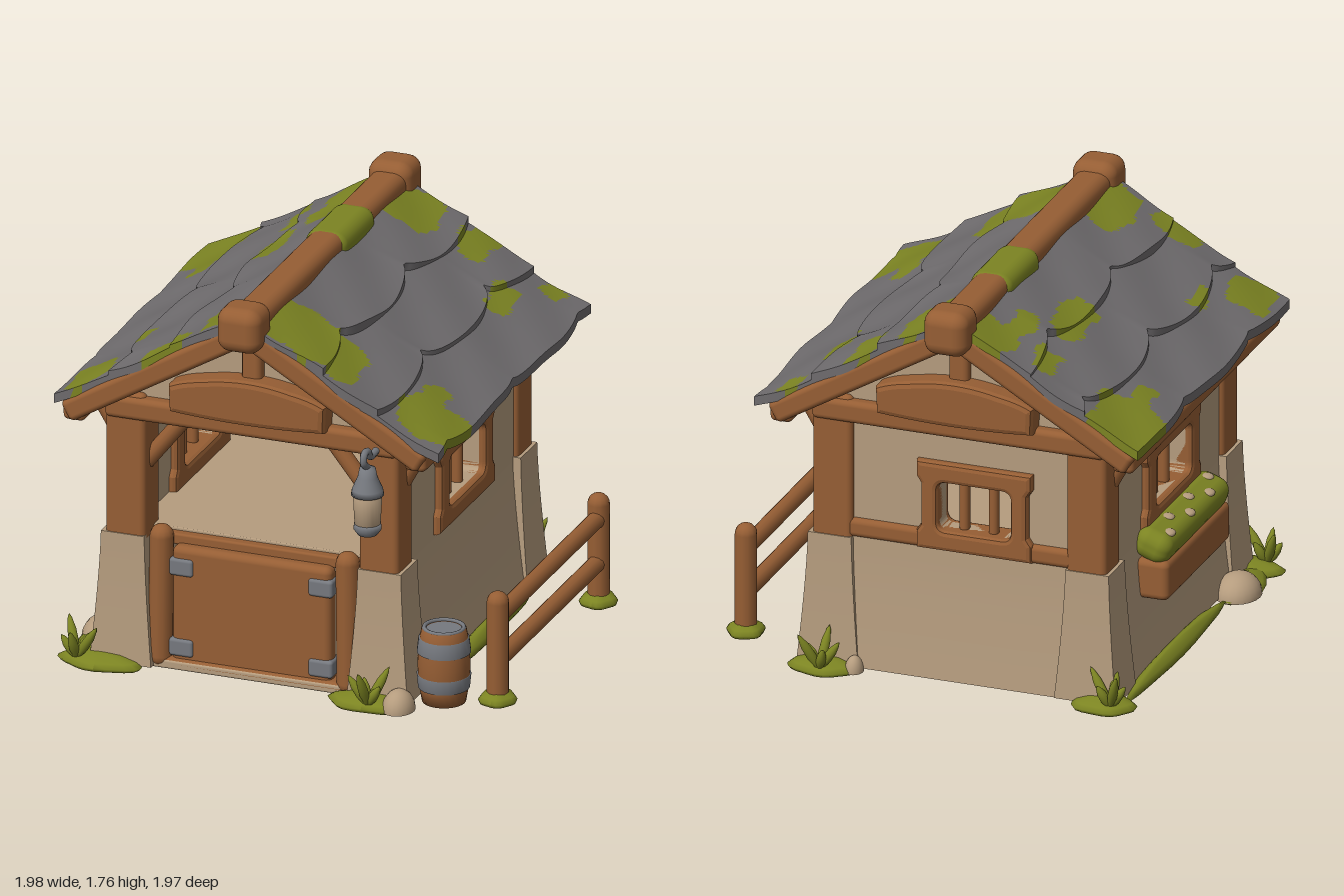
import * as THREE from 'three';
import { toCreasedNormals } from 'three/addons/utils/BufferGeometryUtils.js';
import { RoundedBoxGeometry } from 'three/addons/geometries/RoundedBoxGeometry.js';

const material = (name, color) => {
  const m = new THREE.MeshStandardMaterial({ color });
  m.name = name;
  return m;
};
const V = (x, y, z) => new THREE.Vector3(x, y, z);

export function createModel() {
  const wood = material('wood', 0x965e34);
  const plaster = material('plaster', 0xb59c7e);
  const slate = material('slate', 0x6e6b6d);
  const moss = material('moss', 0x7c8422);
  const iron = material('iron', 0x76797f);

  const root = new THREE.Group();
  root.name = 'cottage';
  const C = -0.135; // centre line of the house
  const house = new THREE.Group();
  house.name = 'house';
  house.position.x = C;
  root.add(house);

  const add = (parent, name, geo, mat, x = 0, y = 0, z = 0) => {
    const m = new THREE.Mesh(geo, mat);
    m.name = name;
    m.position.set(x, y, z);
    parent.add(m);
    return m;
  };
  const block = (parent, name, mat, w, h, d, x, y, z, r = 0.025) =>
    add(parent, name, new RoundedBoxGeometry(w, h, d, 3, Math.min(r, w / 2.1, h / 2.1, d / 2.1)), mat, x, y, z);
  const rod = (parent, name, mat, a, b, r) => {
    const dir = b.clone().sub(a);
    const m = add(parent, name, new THREE.CapsuleGeometry(r, dir.length(), 5, 12), mat);
    m.position.copy(a).add(b).multiplyScalar(0.5);
    m.quaternion.setFromUnitVectors(V(0, 1, 0), dir.normalize());
    return m;
  };
  // Box that widens towards its foot
  const flared = (w, h, d, kx, kz) => {
    const g = new THREE.BoxGeometry(w, h, d, 4, 8, 4);
    const p = g.attributes.position;
    for (let i = 0; i < p.count; i++) {
      const t = (0.5 - p.getY(i) / h) ** 1.4;
      p.setX(i, p.getX(i) * (1 + kx * t));
      p.setZ(i, p.getZ(i) * (1 + kz * t));
    }
    return toCreasedNormals(g, 0.6);
  };
  const polygon = (pts) => new THREE.Shape(pts.map(([x, y]) => new THREE.Vector2(x, y)));
  // Rounded window opening of width w centred on c
  const opening = (w, c = 0) => {
    const p = new THREE.Path(), l = c - w / 2, a = c + w / 2, b = 0.69, t = 0.91, r = 0.04;
    p.moveTo(l + r, b).lineTo(a - r, b).quadraticCurveTo(a, b, a, b + r).lineTo(a, t - r).quadraticCurveTo(a, t, a - r, t);
    p.lineTo(l + r, t).quadraticCurveTo(l, t, l, t - r).lineTo(l, b + r).quadraticCurveTo(l, b, l + r, b);
    return p;
  };
  const slab = (shape, depth, bevel = 0) => {
    const g = new THREE.ExtrudeGeometry(shape, {
      depth, bevelEnabled: bevel > 0, bevelSize: bevel, bevelThickness: bevel, bevelOffset: -bevel, bevelSegments: 2, curveSegments: 10,
    });
    return g.translate(0, 0, -depth / 2);
  };
  const windowSet = (parent, w, hole, x = 0) => {
    const a = w / 2, n = a - 0.02;
    const s = polygon([[-a, 0.6], [a, 0.6], [a, 0.68], [n, 0.71], [n, 0.9], [a, 0.93], [a, 1], [-a, 1], [-a, 0.93], [-n, 0.9], [-n, 0.71], [-a, 0.68]]);
    s.holes.push(opening(hole));
    add(parent, 'windowFrame', slab(s, 0.12, 0.02), wood, x);
    for (const k of [-1, 1]) block(parent, 'windowBar', wood, 0.042, 0.25, 0.05, x + k * 0.066, 0.8, 0);
  };

  // Underside, footing and raised inner floor
  block(house, 'floorBase', wood, 1.02, 0.05, 1.4, 0, 0.025, 0.03, 0.005);
  block(house, 'footing', plaster, 1.36, 0.04, 1.56, 0, 0.032, 0, 0.01);
  block(house, 'innerFloor', plaster, 1.12, 0.05, 1.36, 0, 0.59, -0.01, 0.005);
  block(house, 'floorEdge', wood, 0.98, 0.05, 0.05, 0, 0.578, 0.685, 0.01);

  // Side walls with windows, skirts, eave beams and brackets
  for (const s of [-1, 1]) {
    const side = new THREE.Group();
    side.name = s > 0 ? 'leftSide' : 'rightSide';
    side.position.x = s * 0.597;
    side.rotation.y = Math.PI / 2;
    house.add(side);
    const wall = polygon([[-0.69, 0.02], [0.69, 0.02], [0.69, 1.25], [-0.69, 1.25]]);
    wall.holes.push(opening(0.41));
    add(side, 'sideWall', slab(wall, 0.09), plaster);
    windowSet(side, 0.64, 0.41);
    add(house, 'sideSkirt', flared(0.088, 0.58, 1.3, 1.5, 0.05), plaster, s * 0.597, 0.31, 0);
    block(house, 'eaveBeam', wood, 0.1, 0.08, 1.74, s * 0.77, 1.155, 0);
    for (const f of [-1, 1]) {
      const curve = new THREE.QuadraticBezierCurve3(V(s * 0.635, 0.97, f * 0.645), V(s * 0.67, 1.04, f * 0.645), V(s * 0.74, 1.15, f * 0.645));
      add(house, 'eaveBracket', new THREE.TubeGeometry(curve, 10, 0.035, 8), wood);
      // Corner post on its plaster base
      block(house, 'cornerPost', wood, 0.18, 0.7, 0.18, s * 0.572, 0.89, f * 0.69);
      add(house, 'cornerBase', flared(0.195, 0.58, 0.19, 0.42, 0.28), plaster, s * 0.58, 0.31, f * 0.69);
      // Sloped gable rafter
      const rafter = block(house, 'gableRafter', wood, 0.95, 0.1, 0.11, s * 0.395, 1.395, f * 0.83);
      rafter.rotation.z = -s * Math.atan(0.59);
    }
    rod(house, 'doorwayBrace', wood, V(s * 0.53, 0.88, 0.69), V(s * 0.3, 1.17, 0.69), 0.036);
  }

  // Back wall up to the gable, with its window set towards -x
  const back = new THREE.Group();
  back.name = 'backWall';
  back.position.z = -0.71;
  house.add(back);
  const backShape = polygon([[-0.6, 0.02], [0.6, 0.02], [0.6, 1.27], [0, 1.62], [-0.6, 1.27]]);
  backShape.holes.push(opening(0.33, -0.068));
  add(back, 'backPlaster', slab(backShape, 0.08), plaster);
  windowSet(back, 0.52, 0.33, -0.068);
  for (const s of [-1, 1]) block(back, 'backRail', wood, 0.37, 0.085, 0.13, s * 0.35, 0.64, 0);
  add(house, 'backSkirt', flared(1.06, 0.58, 0.1, 0.03, 0.9), plaster, 0, 0.31, -0.71);

  // Front gable and matching timber at both ends
  add(house, 'frontGable', slab(polygon([[-0.6, 1.18], [0.6, 1.18], [0.6, 1.27], [0, 1.62], [-0.6, 1.27]]), 0.07), plaster, 0, 0, 0.71);
  for (const f of [-1, 1]) {
    block(house, 'tieBeam', wood, 1.32, 0.1, 0.16, 0, 1.175, f * 0.72);
    block(house, 'kingPost', wood, 0.09, 0.34, 0.1, 0, 1.47, f * 0.74);
    const board = new THREE.Shape();
    board.moveTo(-0.35, 1.21).quadraticCurveTo(0, 1.18, 0.35, 1.21).lineTo(0.355, 1.33).quadraticCurveTo(0.3, 1.36, 0.2, 1.375);
    board.quadraticCurveTo(0, 1.42, -0.2, 1.375).quadraticCurveTo(-0.3, 1.36, -0.355, 1.33);
    add(house, 'archedBoard', slab(board, 0.08, 0.025), wood, 0, 0, f * 0.785);
  }

  // Half door with posts and iron corners
  block(house, 'halfDoor', wood, 0.72, 0.54, 0.08, -0.01, 0.295, 0.72, 0.03);
  block(house, 'doorSill', wood, 0.94, 0.05, 0.16, 0, 0.035, 0.7);
  for (const s of [-1, 1]) {
    rod(house, 'doorPost', wood, V(s * 0.425, 0.06, 0.74), V(s * 0.42, 0.6, 0.74), 0.052);
    for (const y of [0.11, 0.475]) block(house, 'doorIron', iron, 0.11, 0.08, 0.1, s * 0.315 - 0.01, y, 0.72, 0.015);
  }

  // Moss patches on the roof: centre x, z and half sizes
  const patches = [
    [-0.87, -0.72, 0.135, 0.19], [-0.85, -0.48, 0.04, 0.1], [-0.5, -0.69, 0.045, 0.1], [-0.28, -0.77, 0.1, 0.13],
    [-0.34, -0.56, 0.05, 0.11], [-0.46, -0.28, 0.065, 0.16], [0.03, -0.7, 0.1, 0.17], [0.28, -0.76, 0.065, 0.13],
    [0.6, -0.82, 0.05, 0.06], [0.49, -0.52, 0.05, 0.12], [-0.27, 0.67, 0.09, 0.18], [0.11, 0.68, 0.21, 0.18],
    [0.64, 0.66, 0.14, 0.16], [0.58, 0.47, 0.05, 0.1], [-0.87, 0.74, 0.09, 0.13], [-0.74, 0.45, 0.025, 0.09], [-0.5, 0.82, 0.1, 0.07],
  ];
  const mossy = (x, z) => patches.some(([px, pz, a, b]) =>
    Math.abs((x - px + 0.01 * Math.sin(z * 31)) / a) ** 4 + Math.abs((z - pz + 0.012 * Math.sin(x * 37)) / b) ** 4 < 1);
  const paintMoss = (geo) => {
    const p = geo.attributes.position, bins = [[], []];
    for (let i = 0; i < p.count; i += 3) {
      const x = (p.getX(i) + p.getX(i + 1) + p.getX(i + 2)) / 3, z = (p.getZ(i) + p.getZ(i + 1) + p.getZ(i + 2)) / 3;
      bins[mossy(x + C, z) ? 1 : 0].push(i, i + 1, i + 2);
    }
    geo.clearGroups();
    geo.setIndex(bins.flat());
    geo.addGroup(0, bins[0].length, 0);
    geo.addGroup(bins[0].length, bins[1].length, 1);
    return geo;
  };

  // Overlapping slate courses with scalloped lower edges
  for (const s of [-1, 1]) {
    const end = s > 0 ? 0.885 : 0.845;
    [[0.0, 0.34], [0.26, 0.61], [0.53, end]].forEach(([d0, d1], k) => {
      const g = new THREE.BoxGeometry(1, 0.042, 1.75, 18, 1, 84);
      const p = g.attributes.position;
      for (let i = 0; i < p.count; i++) {
        const t = 0.5 + s * p.getX(i), z = p.getZ(i);
        const wave = (k === 2 ? 0.03 : 0.085) * (Math.sqrt(Math.abs(Math.sin(z * 4.2 + k * 1.1 + s))) - 0.75);
        const d = d0 + (d1 - d0 + wave) * t;
        const bump = 0.01 * Math.sin(z * 11 + k * 2 + s) * Math.sin(d * 13 + k);
        p.setXYZ(i, s * d, 1.684 - 0.585 * d + 0.026 * t * t + bump + p.getY(i), z * (1 + 0.008 * Math.sin(d * 17)));
      }
      add(house, 'slateCourse', paintMoss(toCreasedNormals(g, 0.8)), [slate, moss]);
    });
    const deck = block(house, 'roofDeck', wood, 0.92, 0.03, 1.7, s * 0.395, 1.42, 0, 0.01);
    deck.rotation.z = -s * Math.atan(0.585);
  }

  // Ridge beam with heavy ends and a moss sleeve
  block(house, 'ridgeBeam', wood, 0.16, 0.15, 1.8, 0, 1.65, 0, 0.05);
  for (const f of [-1, 1]) block(house, 'ridgeEnd', wood, 0.2, 0.2, 0.19, 0, 1.662, f * 0.87 - 0.005, 0.06);
  block(house, 'ridgeMoss', moss, 0.19, 0.155, 0.4, 0, 1.65, -0.24, 0.06);

  // Planter under the window on the -x side
  block(root, 'planterBox', wood, 0.15, 0.18, 0.74, -0.845, 0.42, 0, 0.03);
  const greens = block(root, 'planterGreens', moss, 0.17, 0.14, 0.75, -0.84, 0.565, 0, 0.06);
  greens.rotation.z = 0.35;
  const petal = new THREE.SphereGeometry(1, 12, 8);
  for (let i = 0; i < 6; i++) {
    const k = i % 2;
    add(root, 'planterFlower', petal, plaster, -0.89 + 0.05 * k, 0.612 + 0.018 * k, -0.28 + i * 0.115).scale.set(0.03, 0.016, 0.035);
  }

  // Fence
  for (const f of [-1, 1]) rod(root, 'fencePost', wood, V(0.9, 0.05, f * 0.58), V(0.9, 0.455, f * 0.58), 0.048);
  for (const y of [0.19, 0.39]) rod(root, 'fenceRail', wood, V(0.9, y, -0.56), V(0.9, y, 0.56), 0.038);

  // Barrel with iron hoops and lid
  const lathe = (pts) => new THREE.LatheGeometry(pts.map(([r, y]) => new THREE.Vector2(r, y)), 24);
  const barrelR = (y) => 0.112 - 0.65 * (y - 0.19) ** 2;
  const ys = [0.02, 0.08, 0.14, 0.19, 0.24, 0.3, 0.35];
  add(root, 'barrel', lathe([[0, 0.02], ...ys.map((y) => [barrelR(y), y]), [0.08, 0.358], [0.075, 0.34], [0, 0.34]]), wood, 0.7, 0, 0.69);
  for (const [y, h] of [[0.085, 0.06], [0.245, 0.065]]) {
    const r0 = barrelR(y) + 0.005, r1 = barrelR(y + h) + 0.005;
    add(root, 'barrelHoop', lathe([[r0 - 0.01, y], [r0, y], [r1, y + h], [r1 - 0.01, y + h]]), iron, 0.7, 0, 0.69);
  }
  add(root, 'barrelLid', new THREE.CylinderGeometry(0.076, 0.076, 0.009, 24), iron, 0.7, 0.341, 0.69);
  add(root, 'barrelRim', new THREE.TorusGeometry(0.084, 0.009, 8, 24).rotateX(Math.PI / 2), iron, 0.7, 0.352, 0.69);

  // Hanging lantern
  const lantern = new THREE.Group();
  lantern.name = 'lantern';
  lantern.position.set(0.447, 0, 0.925);
  root.add(lantern);
  add(lantern, 'lanternCap', lathe([[0, 1.01], [0.07, 1.01], [0.066, 1.035], [0.042, 1.09], [0.034, 1.13], [0, 1.145]]), iron);
  add(lantern, 'lanternGlass', lathe([[0, 0.87], [0.055, 0.87], [0.063, 1.02], [0, 1.02]]), plaster);
  add(lantern, 'lanternBase', lathe([[0, 0.825], [0.042, 0.83], [0.06, 0.855], [0.057, 0.88], [0, 0.88]]), iron);
  const hook = new THREE.CatmullRomCurve3([V(0, 1.17, -0.1), V(0, 1.17, -0.03), V(0, 1.205, 0.0), V(0, 1.205, 0.04), V(0, 1.17, 0.045), V(0, 1.13, 0.0)]);
  add(lantern, 'lanternHook', new THREE.TubeGeometry(hook, 24, 0.016, 8), iron);

  // Moss pads: x, z, half width, half depth
  const pads = [
    [-0.8, 0.8, 0.2, 0.11], [0.41, 0.82, 0.19, 0.1], [-0.79, -0.79, 0.15, 0.11], [0.46, -0.82, 0.16, 0.11],
    [0.59, -0.1, 0.045, 0.55], [-0.865, -0.15, 0.045, 0.6], [-0.87, 0.6, 0.11, 0.2], [0.9, 0.58, 0.085, 0.09], [0.9, -0.58, 0.085, 0.09],
  ];
  for (const [x, z, a, b] of pads) {
    const g = lathe([[0, 0.002], [0.92, 0.002], [1, 0.018], [0.85, 0.035], [0.45, 0.055], [0, 0.06]]);
    const p = g.attributes.position;
    for (let i = 0; i < p.count; i++) {
      const ang = Math.atan2(p.getZ(i), p.getX(i)), k = 0.95 + 0.05 * Math.sin(ang * 5 + x * 9);
      p.setXYZ(i, p.getX(i) * k * a, p.getY(i), p.getZ(i) * k * b);
    }
    g.computeVertexNormals();
    add(root, 'mossPad', g, moss, x, 0, z);
  }

  // Grass tufts with broad leaves
  const leaf = lathe([[0.01, 0], [0.021, 0.35], [0.019, 0.65], [0.009, 0.9], [0, 1]]);
  for (const [x, z] of [[-0.9, 0.84], [0.43, 0.88], [0.45, -0.89], [-0.84, -0.84]]) {
    for (let i = 0; i < 5; i++) {
      const a = i * 1.26 + x;
      const blade = add(root, 'grassBlade', leaf, moss, x, 0.03, z);
      blade.scale.y = 0.12 + 0.035 * ((i * 2) % 3);
      blade.rotation.set(0.45 * Math.sin(a), 0, -0.6 * Math.cos(a));
    }
  }

  // Rounded stones by the walls
  for (const [x, z, r, h] of [[0.55, 0.83, 0.07, 0.09], [-0.89, 0.53, 0.1, 0.1], [0.32, -0.82, 0.04, 0.07]]) {
    const g = new THREE.SphereGeometry(1, 20, 8, 0, Math.PI * 2, 0, Math.PI / 2);
    add(root, 'stone', g, plaster, x, 0.01, z).scale.set(r, h, r * 1.2);
  }
  return root;
}
